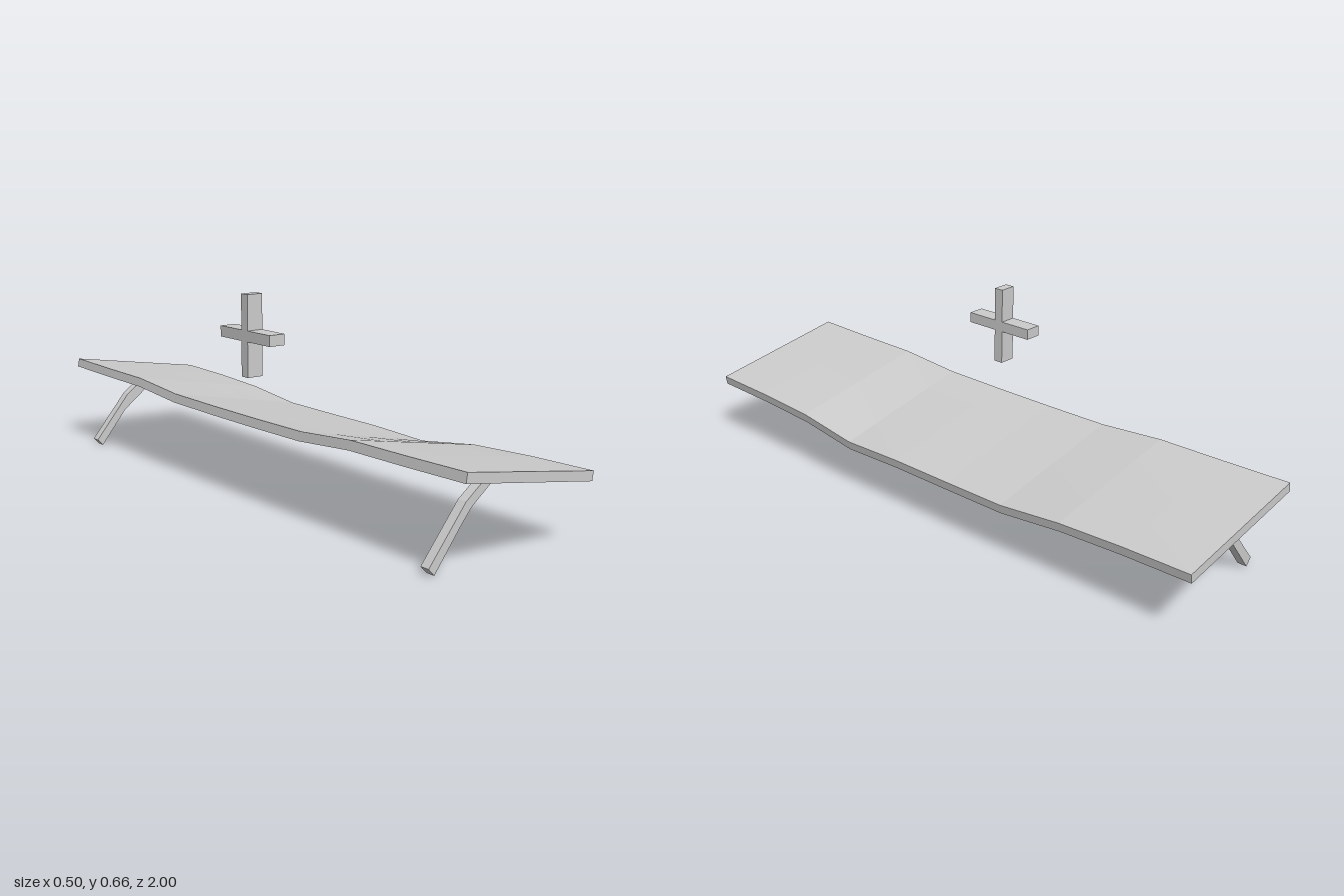
import * as THREE from 'three';

const grey = new THREE.MeshStandardMaterial({ color: 0xcccccc, flatShading: true });

function extrude(name, points, depth) {
  const shape = new THREE.Shape(points.map(([x, y]) => new THREE.Vector2(x, y)));
  const geo = new THREE.ExtrudeGeometry(shape, { depth, bevelEnabled: false });
  geo.translate(0, 0, -depth / 2);
  const mesh = new THREE.Mesh(geo, grey);
  mesh.name = name;
  return mesh;
}

// Tilted board whose middle sags, more along its low edge than its high edge
function makeBoard() {
  const highSag = [0, 0.004, 0.006, 0.024, 0.026, 0.026, 0.024, 0.006, 0.004, 0];
  const lowSag = [0, 0.005, 0.016, 0.04, 0.041, 0.041, 0.048, 0.016, 0.005, 0];
  const geo = new THREE.BoxGeometry(1, 1, 2, 4, 1, 9);
  const p = geo.attributes.position;
  for (let i = 0; i < p.count; i++) {
    const t = p.getX(i) + 0.5;
    const top = p.getY(i) > 0;
    const row = Math.round((p.getZ(i) + 1) * 4.5);
    const sag = THREE.MathUtils.lerp(highSag[row], lowSag[row], t);
    p.setX(i, (top ? -0.245 : -0.25) + 0.495 * t);
    p.setY(i, (top ? 0.31 : 0.281) - 0.081 * t - sag);
  }
  geo.computeVertexNormals();
  const mesh = new THREE.Mesh(geo, grey);
  mesh.name = 'board';
  return mesh;
}

export function createModel() {
  const group = new THREE.Group();
  group.name = 'tiltedBench';
  group.add(makeBoard());

  // Bent legs slanting down toward the high edge of the board
  const foot = [[-0.248, 0.022], [-0.227, 0], [-0.13, 0.12]];
  const knee = [[-0.03, 0.241], [-0.115, 0.18]];
  const frontLeg = extrude('frontLeg', [...foot, [-0.095, 0.16], [0.005, 0.234], ...knee], 0.03);
  frontLeg.position.z = 0.86;
  const backLeg = extrude('backLeg', [...foot, [0, 0.22], [0.005, 0.234], ...knee], 0.03);
  backLeg.position.z = -0.885;
  group.add(frontLeg, backLeg);

  // Floating cross of two square bars, facing sideways
  const w = 0.016, h = 0.017, arm = 0.126, up = 0.127;
  const cross = extrude('cross', [
    [-w, -up], [w, -up], [w, -h], [arm, -h], [arm, h], [w, h],
    [w, up], [-w, up], [-w, h], [-arm, h], [-arm, -h], [-w, -h],
  ], 0.055);
  cross.rotation.y = Math.PI / 2;
  cross.position.set(-0.225, 0.533, 0.074);
  group.add(cross);

  return group;
}
